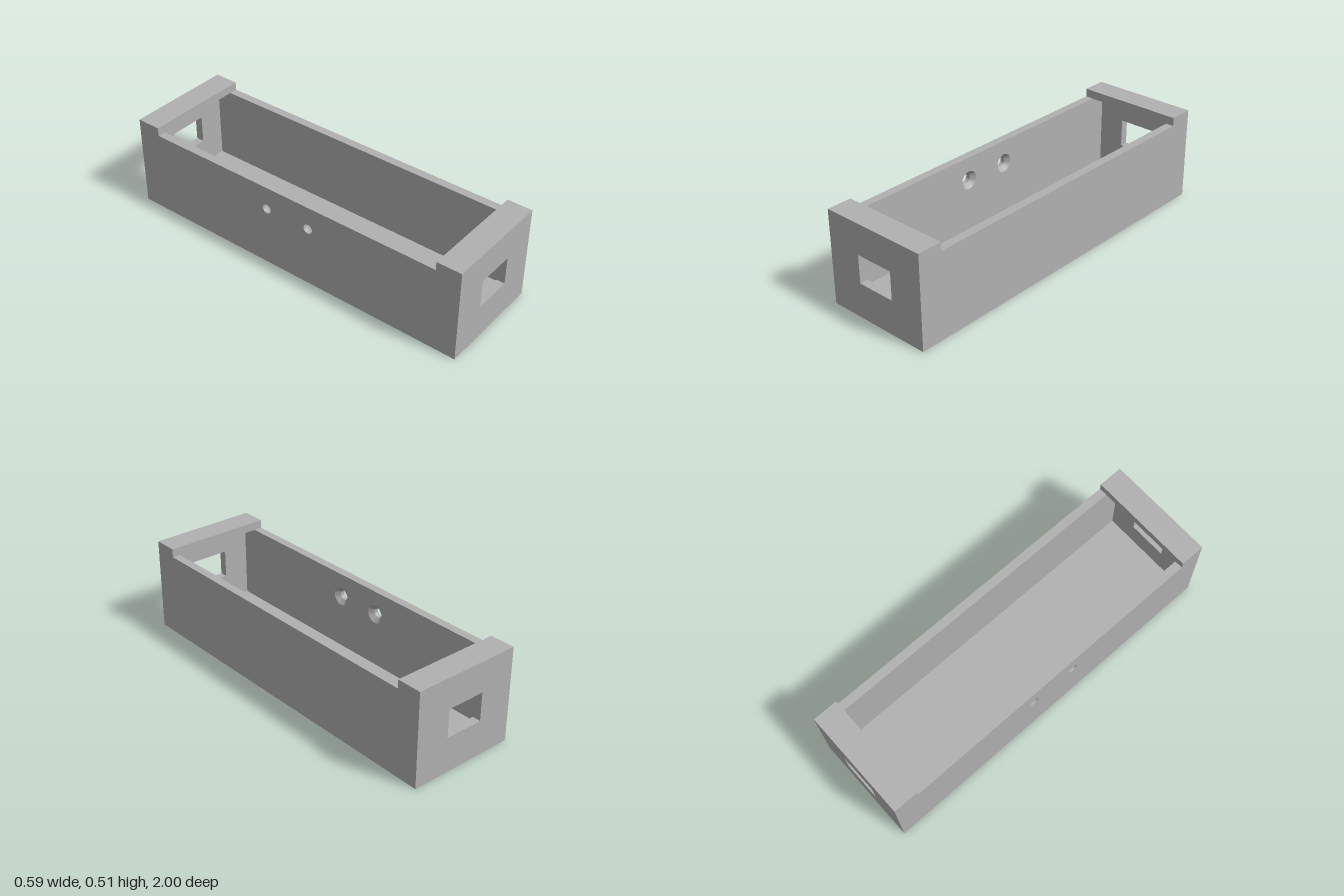
import * as THREE from 'three';
import { toCreasedNormals } from 'three/addons/utils/BufferGeometryUtils.js';

const W = 0.297;      // half width
const L = 1;          // half length
const T = 0.046;      // wall thickness
const H = 0.51;       // height at the ends
const RIM = 0.464;    // height of the side walls
const LIP = 0.865;    // inner edge of the end lips

export function createModel() {
  const group = new THREE.Group();
  const grey = new THREE.MeshStandardMaterial({ color: 0xb0b0b0 });
  grey.name = 'grey';

  const add = (name, geometry, x = 0, y = 0, z = 0) => {
    const mesh = new THREE.Mesh(geometry, grey);
    mesh.name = name;
    mesh.position.set(x, y, z);
    group.add(mesh);
    return mesh;
  };

  const rectangle = (Kind, x0, y0, x1, y1) => new Kind([
    new THREE.Vector2(x0, y0), new THREE.Vector2(x1, y0),
    new THREE.Vector2(x1, y1), new THREE.Vector2(x0, y1),
  ]);
  const plate = (shape) => new THREE.ExtrudeGeometry(shape, { depth: T, bevelEnabled: false, curveSegments: 24 });

  // Floor of the tray
  add('floor', new THREE.BoxGeometry(2 * (W - T), T, 2 * (L - T)), 0, T / 2, 0);

  // End walls with a rectangular window, each with an overhanging lip
  const endShape = rectangle(THREE.Shape, -W, 0, W, H);
  endShape.holes.push(rectangle(THREE.Path, -0.106, 0.19, 0.106, 0.343));
  const endGeometry = plate(endShape);
  const lipDepth = L - T - LIP;
  const lipGeometry = new THREE.BoxGeometry(2 * W, H - RIM, lipDepth);
  for (const [side, s] of [['front', 1], ['back', -1]]) {
    add(side + 'Wall', endGeometry, 0, 0, s > 0 ? L - T : -L);
    add(side + 'Lip', lipGeometry, 0, (H + RIM) / 2, s * (LIP + lipDepth / 2));
  }

  // Plain side wall
  add('leftWall', new THREE.BoxGeometry(T, RIM, 2 * (L - T)), W - T / 2, RIM / 2, 0);

  // Side wall with two screw holes
  const holeY = 0.336, holeZ = 0.13, sinkRadius = 0.05, boreRadius = 0.026;
  const sideShape = rectangle(THREE.Shape, -(L - T), 0, L - T, RIM);
  for (const s of [-1, 1]) {
    sideShape.holes.push(new THREE.Path().absarc(s * holeZ, holeY, sinkRadius, 0, Math.PI * 2, true));
  }
  add('rightWall', plate(sideShape).rotateY(-Math.PI / 2), -W + T);

  // Countersunk linings: cone inside, straight bore to the outer face
  const profile = [
    new THREE.Vector2(sinkRadius, T),
    new THREE.Vector2(boreRadius, T - 0.022),
    new THREE.Vector2(boreRadius, 0),
    new THREE.Vector2(sinkRadius, 0),
  ];
  const lining = toCreasedNormals(new THREE.LatheGeometry(profile, 48), 0.5).rotateZ(-Math.PI / 2);
  for (const s of [-1, 1]) add('countersunkHole', lining, -W, holeY, s * holeZ);

  return group;
}
